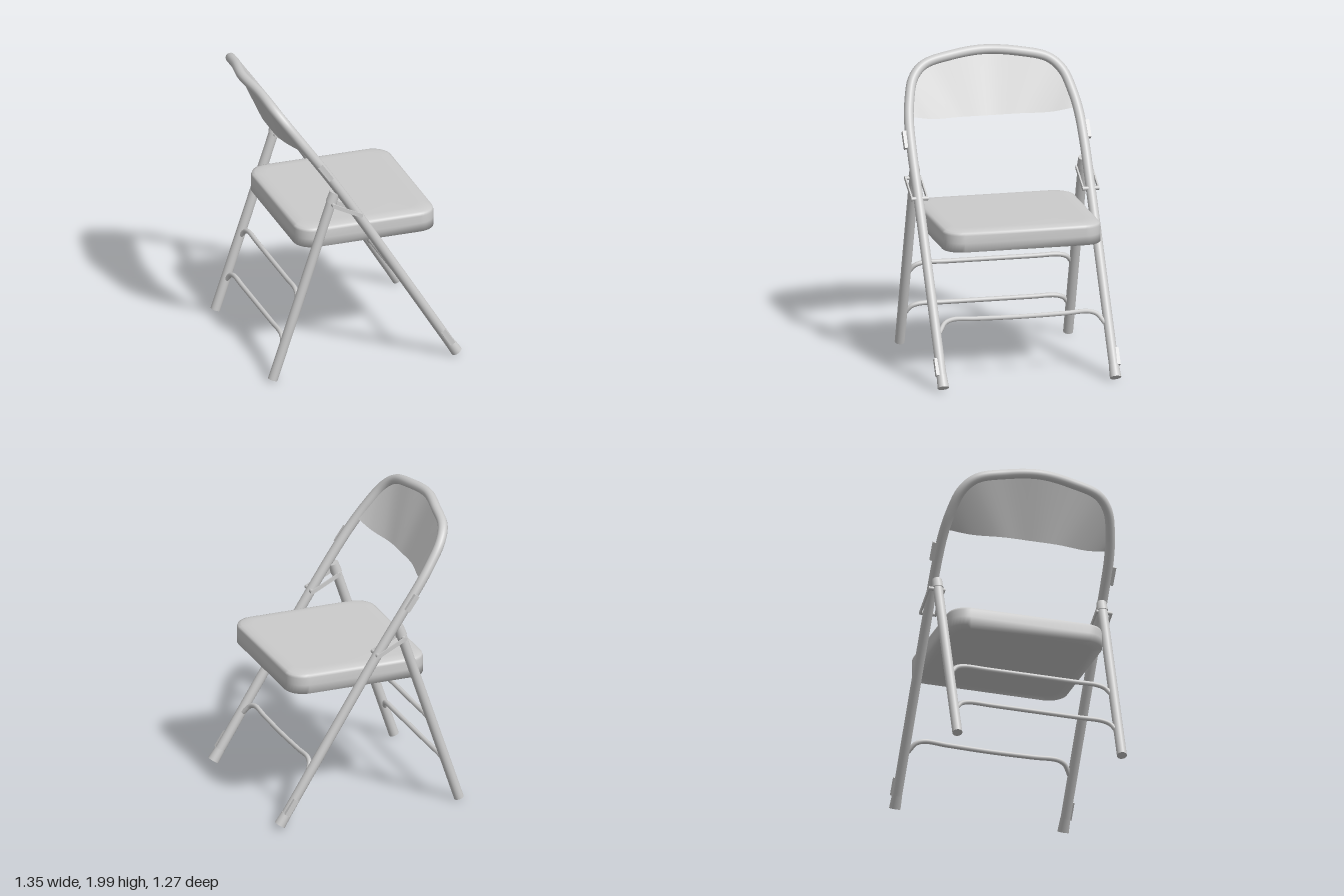
import * as THREE from 'three';

const V = (x, y, z) => new THREE.Vector3(x, y, z);
const mat = new THREE.MeshStandardMaterial({ color: 0xcccccc });
const sheetMat = new THREE.MeshStandardMaterial({ color: 0xcccccc, side: THREE.DoubleSide });

function add(parent, name, geometry, material = mat) {
  const mesh = new THREE.Mesh(geometry, material);
  mesh.name = name;
  parent.add(mesh);
  return mesh;
}

// Capped cylinder between two points
function rod(parent, name, a, b, r, r2 = r) {
  const mesh = add(parent, name, new THREE.CylinderGeometry(r2, r, a.distanceTo(b), 20));
  mesh.position.copy(a).add(b).multiplyScalar(0.5);
  mesh.quaternion.setFromUnitVectors(V(0, 1, 0), b.clone().sub(a).normalize());
}

// Box whose long side runs from a to b (both at the same z)
function bar(parent, name, a, b, width, depth) {
  const mesh = add(parent, name, new THREE.BoxGeometry(a.distanceTo(b), width, depth));
  mesh.position.copy(a).add(b).multiplyScalar(0.5);
  mesh.rotation.z = Math.atan2(b.y - a.y, b.x - a.x);
}

// Smooth grid surface from rows of points
function loft(rows, closed) {
  const n = rows[0].length, index = [];
  for (let j = 0; j < rows.length - 1; j++) {
    for (let i = 0; i < (closed ? n : n - 1); i++) {
      const a = j * n + i, b = j * n + (i + 1) % n;
      index.push(a, a + n, b, b, a + n, b + n);
    }
  }
  const g = new THREE.BufferGeometry().setFromPoints(rows.flat());
  g.setIndex(index);
  g.computeVertexNormals();
  return g;
}

// Rounded rectangle outline of the seat at one height
function seatRing(y, inset) {
  const x0 = -0.434 + inset, x1 = 0.536 - inset, z1 = 0.533 - inset;
  const r = 0.125 - inset * 0.4, pts = [];
  const corners = [[x1 - r, z1 - r], [x0 + r, z1 - r], [x0 + r, r - z1], [x1 - r, r - z1]];
  corners.forEach(([cx, cz], q) => {
    for (let i = 0; i <= 8; i++) {
      const t = (q + i / 8) * Math.PI / 2;
      pts.push(V(cx + r * Math.cos(t), y, cz + r * Math.sin(t)));
    }
  });
  return pts;
}

// Cross rung with ends that bend down along the legs, and a slight sag
function rung(parent, name, y, xAt, sag = 0) {
  const half = [[0.56, -0.075], [0.543, -0.05], [0.515, -0.018], [0.46, 0], [0.3, -sag / 2]];
  const pts = half.map(([z, d]) => V(xAt(y + d), y + d, z));
  const mirrored = pts.map(p => V(p.x, p.y, -p.z)).reverse();
  const path = new THREE.CatmullRomCurve3([...pts, V(xAt(y - sag), y - sag, 0), ...mirrored]);
  add(parent, name, new THREE.TubeGeometry(path, 64, 0.016, 10));
}

export function createModel() {
  const chair = new THREE.Group();
  chair.name = 'foldingChair';

  // Bent tube: front legs running up into the back hoop
  const side = [
    [0.625, 0.05, 0.583], [0.29, 0.59, 0.583], [-0.045, 1.125, 0.583], [-0.235, 1.415, 0.583],
    [-0.35, 1.58, 0.575], [-0.435, 1.7, 0.553], [-0.527, 1.83, 0.505], [-0.58, 1.905, 0.42], [-0.61, 1.95, 0.23],
  ].map(p => V(...p));
  const hoop = new THREE.CatmullRomCurve3(
    [...side, V(-0.642, 1.967, 0), ...side.map(p => V(p.x, p.y, -p.z)).reverse()]);
  add(chair, 'frontLegsAndBackHoop', new THREE.TubeGeometry(hoop, 200, 0.033, 16));

  // Curved back panel hanging inside the hoop, its lower edge straight in the middle
  const lowerEdge = new THREE.CatmullRomCurve3([
    [-0.363, 1.612, 0.56], [-0.405, 1.578, 0.4], [-0.452, 1.568, 0.19], [-0.458, 1.566, 0],
    [-0.452, 1.568, -0.19], [-0.405, 1.578, -0.4], [-0.363, 1.612, -0.56],
  ].map(p => V(...p)));
  const top = [], bottom = [];
  for (let i = 0; i <= 48; i++) {
    top.push(hoop.getPoint(THREE.MathUtils.lerp(4.2, 13.8, i / 48) / 18));
    bottom.push(lowerEdge.getPoint(i / 48));
  }
  add(chair, 'backPanel', loft([top, bottom]), sheetMat);

  // Seat: flat underside, upright wall, tight rim and slightly crowned top
  const profile = [[0.91, 0.06], [0.91, 0], [0.97, 0], [1.02, 0], [1.036, 0.005],
    [1.043, 0.022], [1.05, 0.05], [1.052, 0.09]];
  const rings = profile.map(([y, inset]) => seatRing(y, inset));
  const centre = y => rings[0].map(() => V(0.05, y, 0));
  add(chair, 'seat', loft([centre(0.91), ...rings, centre(1.052)], true));

  // Rungs between the legs
  const rearX = y => -0.632 + (y - 0.02) * 0.333;
  const frontX = y => 0.632 - (y - 0.04) * 0.622;
  rung(chair, 'lowerRearRung', 0.293, rearX);
  rung(chair, 'upperRearRung', 0.597, rearX);
  rung(chair, 'frontRung', 0.422, frontX, 0.007);

  for (const s of [1, -1]) {
    const half = new THREE.Group();
    half.name = s > 0 ? 'leftSide' : 'rightSide';
    chair.add(half);

    // Rear leg with its top cap
    const z = 0.57 * s;
    rod(half, 'rearLeg', V(rearX(0.015), 0.015, z), V(rearX(1.27), 1.27, z), 0.033);
    rod(half, 'rearLegCap', V(rearX(1.24), 1.24, z), V(rearX(1.31), 1.31, z), 0.038, 0.034);

    // Front foot
    rod(half, 'frontFoot', V(0.643, 0.026, 0.583 * s), V(0.595, 0.1, 0.583 * s), 0.038, 0.034);

    // Stacking bumpers on the outside of the front leg
    bar(half, 'upperBumper', V(-0.315, 1.53, 0.615 * s), V(-0.245, 1.43, 0.615 * s), 0.036, 0.034);
    bar(half, 'lowerBumper', V(0.54, 0.2, 0.61 * s), V(0.605, 0.1, 0.61 * s), 0.036, 0.028);

    // Hinge link: two straps joined by pins
    const a = [-0.225, 1.235], b = [-0.04, 1.14];
    for (const zs of [0.528, 0.631]) {
      bar(half, 'hingeStrap', V(...a, zs * s), V(...b, zs * s), 0.026, 0.01);
    }
    for (const p of [a, b]) {
      rod(half, 'hingePin', V(...p, 0.523 * s), V(...p, 0.636 * s), 0.014);
    }
  }
  return chair;
}
